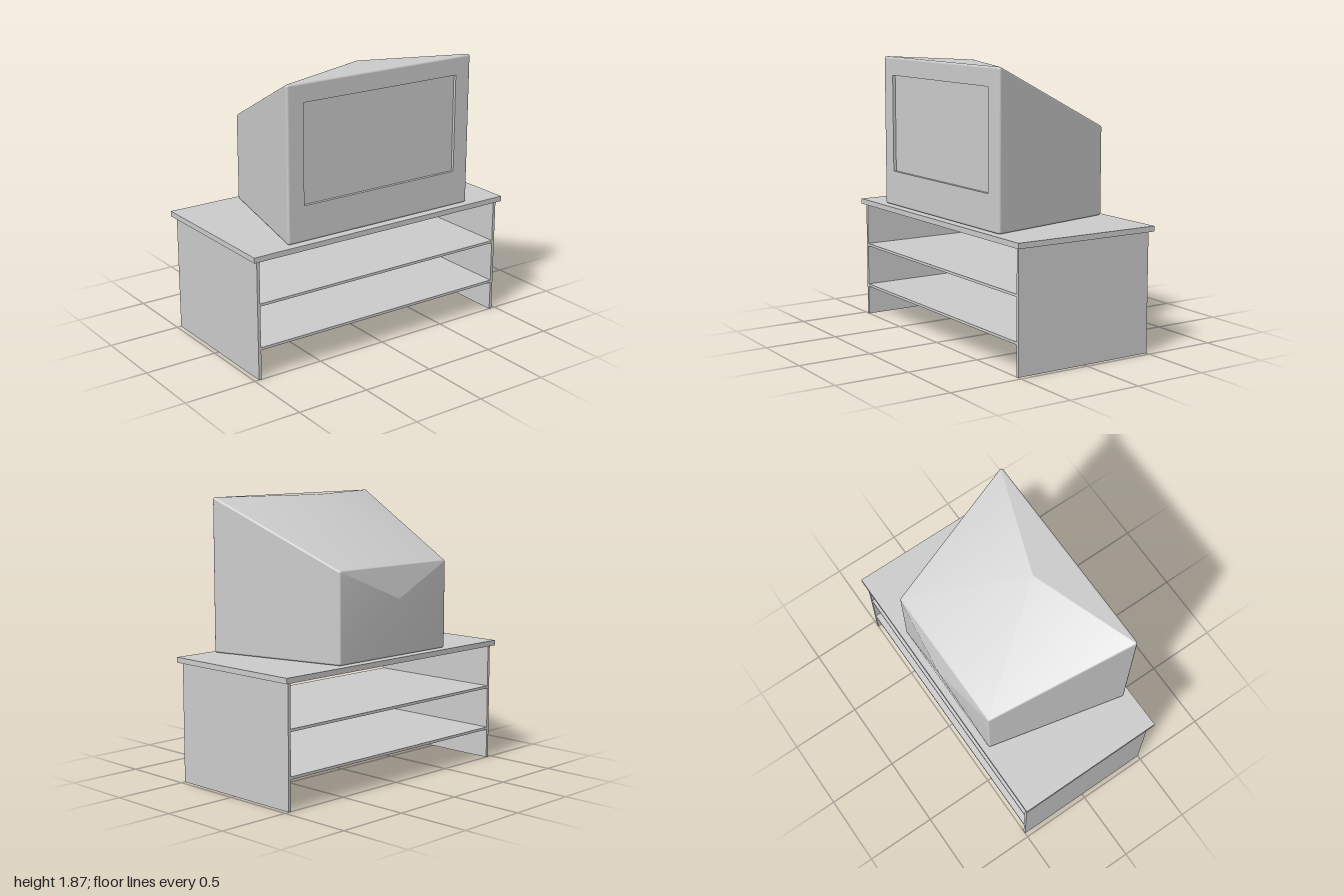
import * as THREE from 'three';
import { ConvexGeometry } from 'three/addons/geometries/ConvexGeometry.js';
import { mergeVertices } from 'three/addons/utils/BufferGeometryUtils.js';

const material = new THREE.MeshStandardMaterial({ color: 0xcccccc });

function addMesh(parent, name, geometry, x = 0, y = 0, z = 0) {
  const mesh = new THREE.Mesh(geometry, material);
  mesh.name = name;
  mesh.position.set(x, y, z);
  parent.add(mesh);
  return mesh;
}

const FRONT = 0.477, R = 0.015; // front plane and edge radius of the cabinet

// Rounded tapering shell: hull of small spheres at the corners, open at the front
function shellGeometry() {
  const corners = [[0, 1.853, 0.21], [0, 1.22, -0.505]];
  for (const s of [-1, 1]) {
    corners.push(
      [s * 0.705, 0.855, FRONT - R], [s * 0.705, 1.85, FRONT - R],
      [s * 0.49, 0.855, -0.463], [s * 0.49, 1.425, -0.463]);
  }
  const ball = new THREE.SphereGeometry(R, 16, 8).rotateX(Math.PI / 2).attributes.position;
  const points = [];
  for (const c of corners) {
    const centre = new THREE.Vector3(...c);
    for (let i = 0; i < ball.count; i++) {
      points.push(new THREE.Vector3().fromBufferAttribute(ball, i).add(centre));
    }
  }
  let geometry = new ConvexGeometry(points);
  geometry.deleteAttribute('normal');
  geometry = mergeVertices(geometry);
  geometry.computeVertexNormals();

  // drop the flat front so that the screen frame can take its place
  const pos = geometry.attributes.position, index = geometry.index.array, kept = [];
  for (let i = 0; i < index.length; i += 3) {
    const tri = [index[i], index[i + 1], index[i + 2]];
    if (!tri.every(v => pos.getZ(v) > FRONT - 1e-4)) kept.push(...tri);
  }
  geometry.setIndex(kept);
  return geometry;
}

function rectangle(path, x, y0, y1) {
  path.moveTo(-x, y0);
  path.lineTo(x, y0);
  path.lineTo(x, y1);
  path.lineTo(-x, y1);
  path.closePath();
  return path;
}

function createTelevision() {
  const tv = new THREE.Group();
  tv.name = 'television';
  addMesh(tv, 'cabinetShell', shellGeometry());

  // front frame with a recessed screen
  const depth = 0.02;
  const frame = rectangle(new THREE.Shape(), 0.705, 0.855, 1.85);
  frame.holes.push(rectangle(new THREE.Path(), 0.6, 1.08, 1.74));
  addMesh(tv, 'screenFrame',
    new THREE.ExtrudeGeometry(frame, { depth, bevelEnabled: false }), 0, 0, FRONT - depth);
  addMesh(tv, 'screen', new THREE.PlaneGeometry(1.2, 0.66), 0, 1.41, FRONT - depth);
  return tv;
}

function createStand() {
  const stand = new THREE.Group();
  stand.name = 'stand';
  addMesh(stand, 'standTop', new THREE.BoxGeometry(2, 0.036, 1.044), 0, 0.82, 0);
  for (const [name, s] of [['leftPanel', 1], ['rightPanel', -1]]) {
    addMesh(stand, name, new THREE.BoxGeometry(0.02, 0.802, 1), s * 0.96, 0.401, 0);
  }
  for (const [name, y] of [['upperShelf', 0.507], ['lowerShelf', 0.21]]) {
    addMesh(stand, name, new THREE.BoxGeometry(1.9, 0.018, 1), 0, y, 0);
  }
  return stand;
}

export function createModel() {
  const model = new THREE.Group();
  model.name = 'televisionOnStand';
  model.add(createStand(), createTelevision());
  return model;
}
